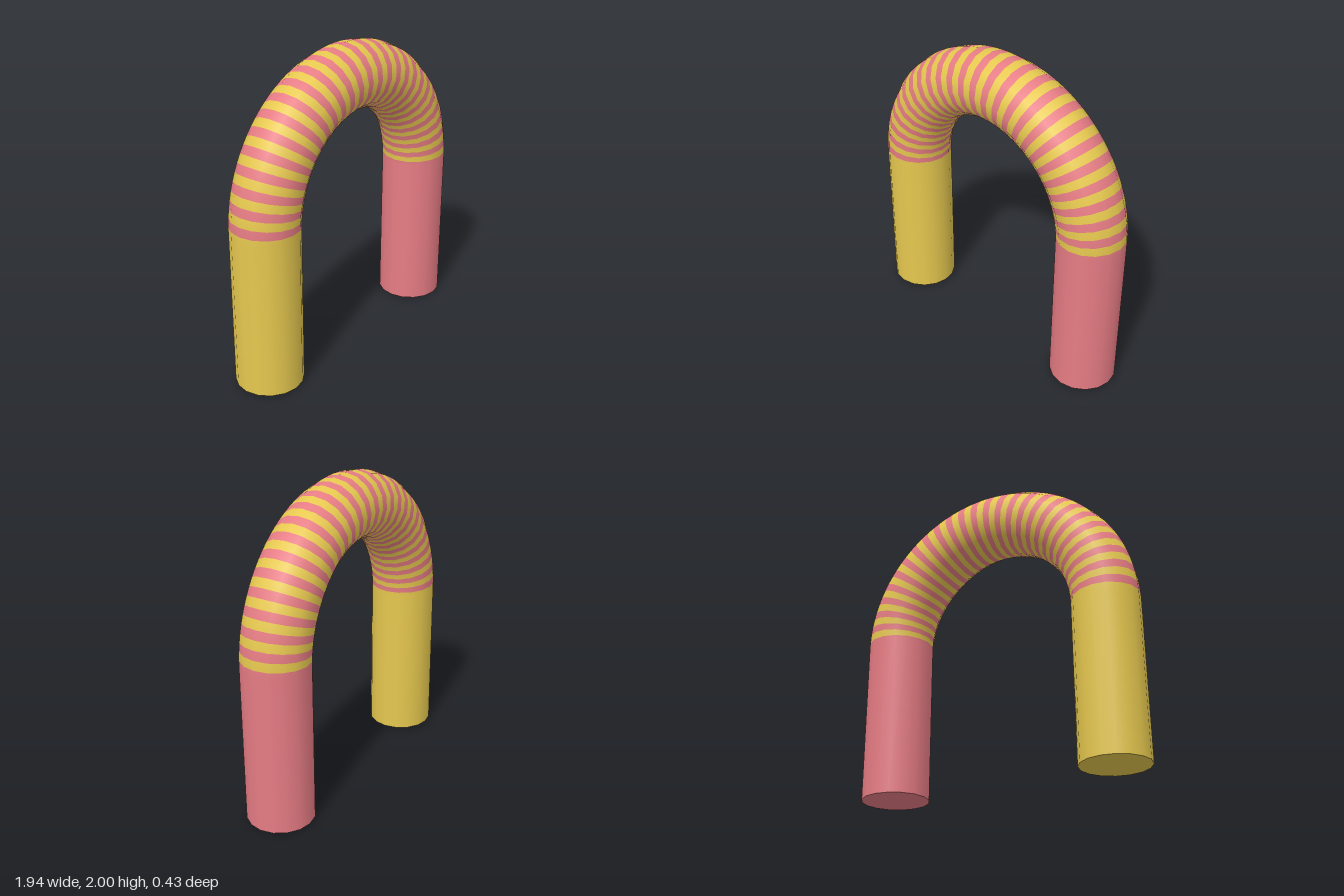
import * as THREE from 'three';
import { mergeGeometries } from 'three/addons/utils/BufferGeometryUtils.js';

const BEND = 0.75;     // centre-line radius of the arch
const TUBE = 0.215;    // radius of the bar
const SIDES = 16;
const LEG = 1.028;
const STRIPES = 50;
const START = THREE.MathUtils.degToRad(2.8);
const END = THREE.MathUtils.degToRad(178);

// one slice of the bent bar between two angles
function slice(from, to) {
  return new THREE.TorusGeometry(BEND, TUBE, SIDES, 1, to - from).rotateZ(from);
}

// straight leg with a bottom cap, plus the short bend up to the first stripe
function legGeometry(side, from, to) {
  const leg = new THREE.CylinderGeometry(TUBE, TUBE, LEG, SIDES, 1, true)
    .translate(side * BEND, -LEG / 2, 0);
  const cap = new THREE.CircleGeometry(TUBE, SIDES)
    .rotateX(Math.PI / 2).translate(side * BEND, -LEG, 0);
  return mergeGeometries([leg, cap, slice(from, to)]);
}

export function createModel() {
  const pink = new THREE.MeshStandardMaterial({ color: 0xe67c84 });
  pink.name = 'pink';
  const yellow = new THREE.MeshStandardMaterial({ color: 0xe6c84f });
  yellow.name = 'yellow';

  const model = new THREE.Group();
  model.name = 'archedBar';
  const bar = new THREE.Group();
  bar.name = 'bar';
  bar.position.y = 1.035;
  bar.rotation.z = -0.007; // slight lean
  model.add(bar);

  const add = (name, geometry, material) => {
    const mesh = new THREE.Mesh(geometry, material);
    mesh.name = name;
    bar.add(mesh);
  };

  // plain legs
  add('leftLeg', legGeometry(1, 0, START), pink);
  add('rightLeg', legGeometry(-1, END, Math.PI), yellow);

  // alternating stripes around the arch
  const step = (END - START) / STRIPES;
  const bands = [[], []];
  for (let i = 0; i < STRIPES; i++) {
    bands[i % 2].push(slice(START + i * step, START + (i + 1) * step));
  }
  add('yellowStripes', mergeGeometries(bands[0]), yellow);
  add('pinkStripes', mergeGeometries(bands[1]), pink);

  return model;
}
